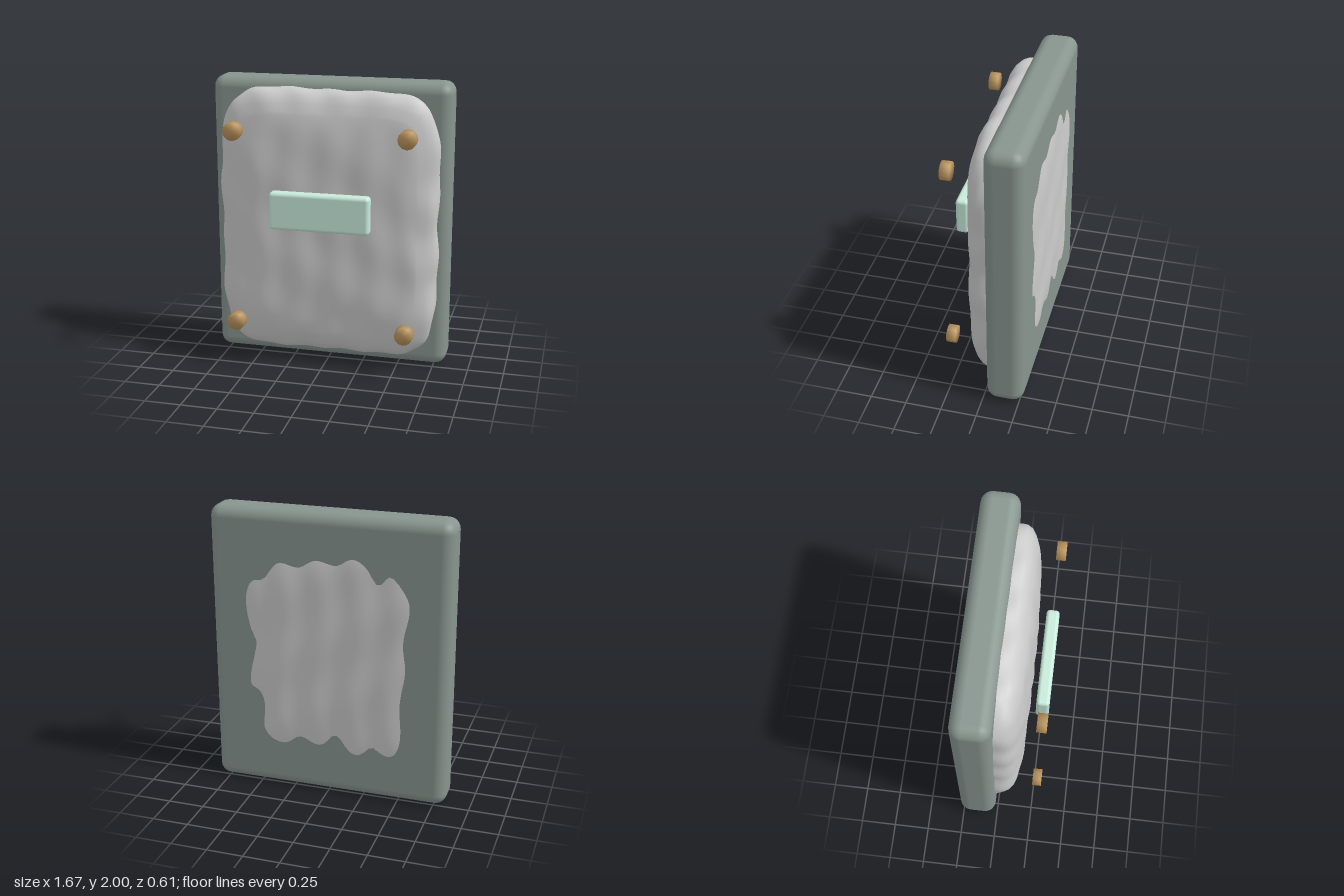
import * as THREE from 'three';
import { RoundedBoxGeometry } from 'three/addons/geometries/RoundedBoxGeometry.js';
import { mergeVertices } from 'three/addons/utils/BufferGeometryUtils.js';

const mat = (color) => new THREE.MeshStandardMaterial({ color });

// weld shared corners so the shading runs smoothly over the edges
function weld(geo) {
  geo.deleteAttribute('normal');
  geo.deleteAttribute('uv');
  const g = mergeVertices(geo, 1e-4);
  g.computeVertexNormals();
  return g;
}

// uneven slab of stone: a box inflated to a squarish ellipsoid, then rippled
function stoneGeometry(a, b, c) {
  const geo = new THREE.BoxGeometry(2, 2, 2, 44, 52, 12);
  const p = geo.attributes.position;
  const v = new THREE.Vector3();
  for (let i = 0; i < p.count; i++) {
    v.fromBufferAttribute(p, i);
    const outline = Math.pow(v.x ** 6 + v.y ** 6, 4 / 6);
    v.multiplyScalar(Math.pow(outline + v.z ** 4, -0.25));
    v.multiply(new THREE.Vector3(a, b, c));
    const { x, y, z } = v;
    // vertical ridges on the faces, chipped ripples around the rim
    const ridge = 0.004 * Math.sin(24 * x + 0.8 * Math.sin(5 * y)) + 0.003 * Math.sin(13 * y + 7 * x);
    const chip = 0.006 * Math.sin(17 * y + 11 * z + 5 * x) + 0.005 * Math.sin(23 * x - 19 * z + 9 * y);
    const rim = Math.max(Math.abs(x) / a, Math.abs(y) / b) ** 4;
    v.x += Math.sign(x) * chip * rim;
    v.y += Math.sign(y) * chip * rim;
    v.z += (z / c) * (ridge + chip * 0.6 * rim);
    p.setXYZ(i, v.x, v.y, v.z);
  }
  return weld(geo);
}

export function createModel() {
  const model = new THREE.Group();
  const add = (name, geo, color, x, y, z) => {
    const mesh = new THREE.Mesh(geo, mat(color));
    mesh.name = name;
    mesh.position.set(x, y, z);
    model.add(mesh);
  };

  // backing board and the stone set into it
  add('backingBoard', new RoundedBoxGeometry(1.67, 2, 0.262, 3, 0.08), 0x88958f, 0, 1, -0.148);
  add('stoneSlab', stoneGeometry(0.765, 0.935, 0.229), 0xcccccc, 0, 1.005, -0.065);

  // plate floating in front of the stone
  add('namePlate', new RoundedBoxGeometry(0.69, 0.26, 0.09, 3, 0.025), 0xc8eadb, 0, 1.148, 0.26);

  // four round studs, one near each corner
  const stud = weld(new THREE.CylinderGeometry(0.063, 0.063, 0.065, 12).rotateX(Math.PI / 2));
  for (const [side, x] of [['Left', 0.59], ['Right', -0.594]])
    for (const [level, y] of [['upper', 1.68], ['lower', 0.33]])
      add(`${level}${side}Stud`, stud, 0xb8925c, x, y, 0.273);

  return model;
}
